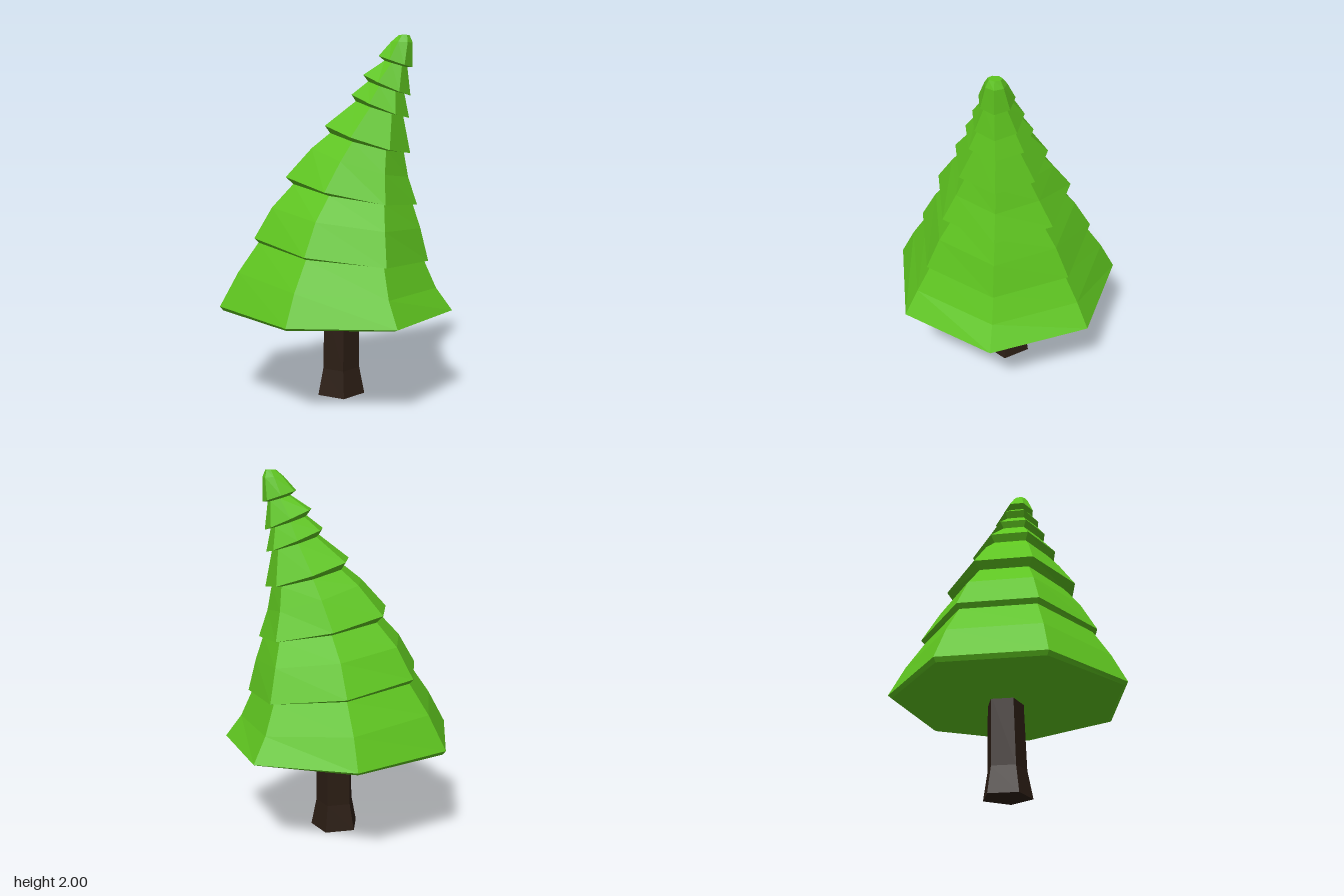
import * as THREE from 'three';

// Tilted ring of corners: its -x end reaches (xl, yl), its +x end (xr, yr), its half depth is hz.
function ring(sides, [xl, yl, xr, yr, hz, cz = 0]) {
  const angles = Array.from({ length: sides }, (_, i) => (i / sides) * Math.PI * 2);
  const minCos = Math.min(...angles.map(Math.cos));
  const maxSin = Math.max(...angles.map(Math.sin));
  return angles.map((a) => {
    const t = (Math.cos(a) - minCos) / (1 - minCos);
    return new THREE.Vector3(
      xl + (xr - xl) * t,
      yl + (yr - yl) * t,
      cz + (hz * Math.sin(a)) / maxSin
    );
  });
}

// Closed faceted shell through rings listed from bottom to top.
function loft(name, sides, sections, color) {
  const rings = sections.map((s) => ring(sides, s));
  const pts = [];
  const centre = (r) =>
    r.reduce((sum, p) => sum.add(p), new THREE.Vector3()).divideScalar(sides);
  const first = rings[0];
  const last = rings[rings.length - 1];
  const low = centre(first);
  const high = centre(last);
  for (let i = 0; i < sides; i++) {
    const j = (i + 1) % sides;
    for (let k = 0; k < rings.length - 1; k++) {
      const a = rings[k];
      const b = rings[k + 1];
      pts.push(a[i], b[i], b[j], a[i], b[j], a[j]);
    }
    pts.push(low, first[i], first[j], high, last[j], last[i]);
  }
  const geometry = new THREE.BufferGeometry().setFromPoints(pts);
  geometry.computeVertexNormals();
  const mesh = new THREE.Mesh(
    geometry,
    new THREE.MeshStandardMaterial({ color, flatShading: true })
  );
  mesh.name = name;
  return mesh;
}

export function createModel() {
  const group = new THREE.Group();
  group.name = 'leaningPineTree';

  // Five-sided trunk with a flared foot
  group.add(loft('trunk', 5, [
    [-0.12, 0, 0.13, 0, 0.132, -0.022],
    [-0.095, 0.15, 0.1, 0.15, 0.105, -0.025],
    [-0.09, 0.54, 0.095, 0.54, 0.097, -0.035],
  ], 0x2b1d14));

  // Seven-sided foliage: each tier is a hem, a middle and a neck tucked under the next hem
  group.add(loft('foliage', 7, [
    [-0.605, 0.522, 0.6, 0.502, 0.61],
    [-0.62, 0.545, 0.62, 0.507, 0.63],
    [-0.525, 0.73, 0.53, 0.63, 0.55],
    [-0.42, 0.89, 0.46, 0.785, 0.455],

    [-0.44, 0.915, 0.485, 0.78, 0.48],
    [-0.35, 1.08, 0.44, 0.96, 0.39],
    [-0.24, 1.205, 0.395, 1.095, 0.3],

    [-0.275, 1.245, 0.42, 1.09, 0.362],
    [-0.14, 1.4, 0.37, 1.24, 0.27],
    [-0.045, 1.48, 0.345, 1.375, 0.2],

    [-0.07, 1.52, 0.38, 1.37, 0.242],
    [0.09, 1.65, 0.34, 1.57, 0.135],

    [0.07, 1.685, 0.372, 1.56, 0.172],
    [0.155, 1.755, 0.345, 1.69, 0.11],

    [0.13, 1.79, 0.378, 1.68, 0.13],
    [0.24, 1.865, 0.36, 1.83, 0.068],

    [0.21, 1.89, 0.387, 1.83, 0.09],
    [0.275, 1.965, 0.387, 1.96, 0.055],
    [0.315, 2, 0.37, 2, 0.035],
  ], 0x5ec41f));

  return group;
}
